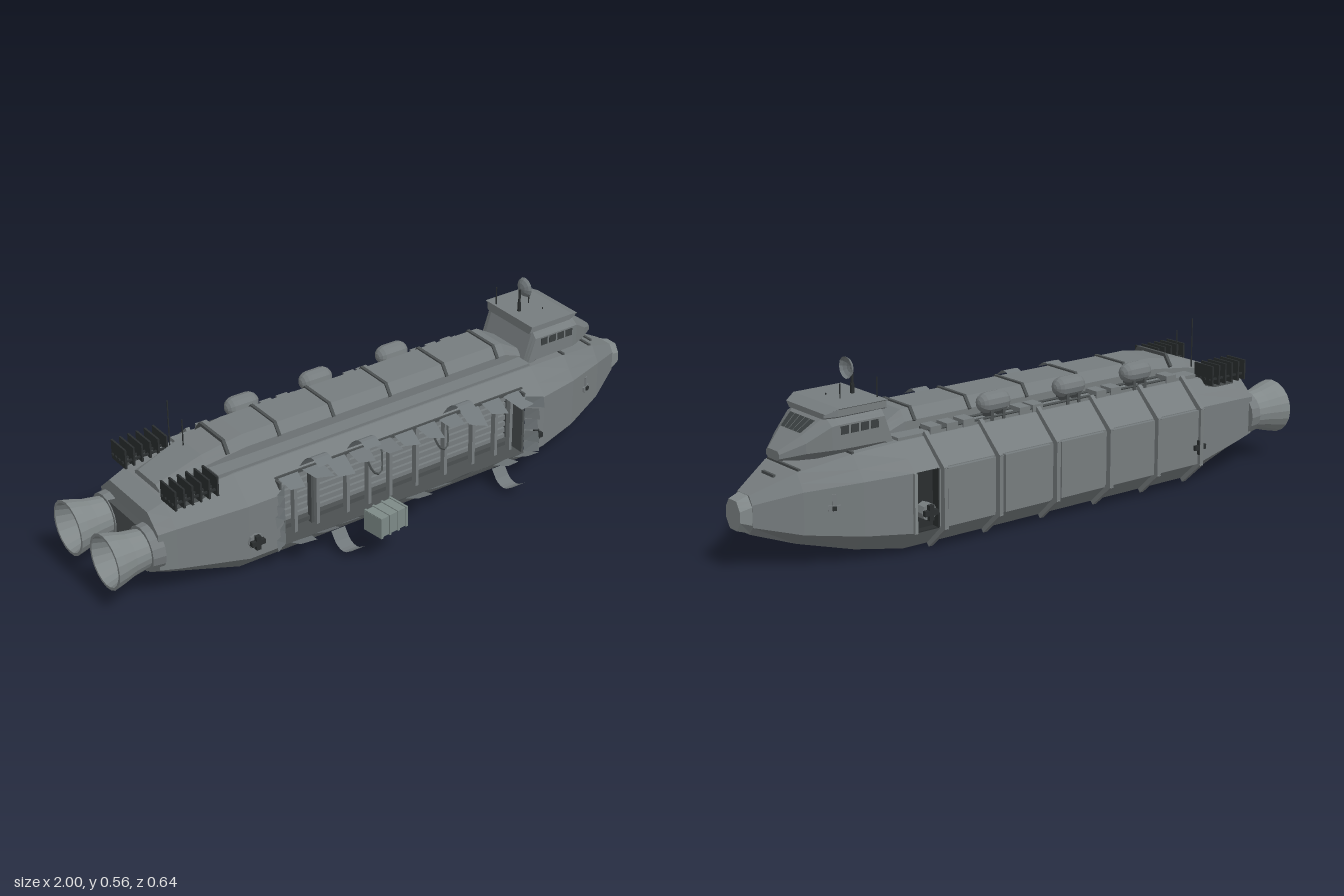
import * as THREE from 'three';

const mat = (name, color, side = THREE.FrontSide) => {
  const m = new THREE.MeshStandardMaterial({ color, side, flatShading: true });
  m.name = name;
  return m;
};
const CZ = -0.08; // centre line of the ship

export function createModel() {
  const root = new THREE.Group();
  root.name = 'cargoShip';
  const hullM = mat('hullGrey', 0x767c7e), darkM = mat('darkGrey', 0x4b5051), blackM = mat('nearBlack', 0x2a2e2f, THREE.DoubleSide);
  const lightM = mat('lightGrey', 0x818889, THREE.DoubleSide), tornM = mat('tornPlate', 0x70777a, THREE.DoubleSide);
  const crateM = mat('crateGrey', 0x7d8a87), glassM = mat('windowGrey', 0x3a3f40, THREE.DoubleSide);
  let seed = 7;
  const rnd = () => (seed = (seed * 16807) % 2147483647) / 2147483647;

  const add = (name, geo, m, x = 0, y = 0, z = 0, parent = root) => {
    const o = new THREE.Mesh(geo, m);
    o.name = name;
    o.position.set(x, y, z);
    parent.add(o);
    return o;
  };
  const box = (name, m, x, y, z, w, h, d, parent) => add(name, new THREE.BoxGeometry(w, h, d), m, x, y, z, parent);
  const fromTris = (pts) => {
    const g = new THREE.BufferGeometry();
    g.setAttribute('position', new THREE.Float32BufferAttribute(pts.flat(), 3));
    g.computeVertexNormals();
    return g;
  };
  const quad = (a, b, c, d) => fromTris([a, b, c, a, c, d]);

  // Ten-sided mirrored cross-section: half widths and heights
  const ring = ([x, wb, ws, wt, y0, y1, y2, y3]) => {
    const half = [[wt, y3], [wt + (ws - wt) * 0.55, y3 + (y2 - y3) * 0.55], [ws, y2], [ws, y1], [wb, y0]];
    return [...half, ...half.map(([w, y]) => [-w, y]).reverse()].map(([w, y]) => [x, y, CZ + w]);
  };
  const loft = (stations, skip = () => false) => {
    const rings = stations.map(ring), n = 10, out = [];
    for (let i = 0; i < rings.length - 1; i++) for (let j = 0; j < n; j++) {
      if (skip(i, j)) continue;
      const k = (j + 1) % n, a = rings[i][j], b = rings[i][k], c = rings[i + 1][k], d = rings[i + 1][j];
      out.push(a, b, c, a, c, d);
    }
    const last = rings[rings.length - 1];
    for (let j = 1; j < n - 1; j++) out.push(last[0], last[j], last[j + 1], rings[0][0], rings[0][j + 1], rings[0][j]);
    return fromTris(out);
  };
  // Bar lying in a plane of constant x between two section points
  const bar = (name, m, a, b, w, t) => {
    const dy = b[1] - a[1], dz = b[2] - a[2];
    const o = box(name, m, a[0], (a[1] + b[1]) / 2, (a[2] + b[2]) / 2, w, Math.hypot(dy, dz) + t * 0.6, t);
    o.rotation.x = Math.atan2(dz, dy);
  };

  // Main hull, open at the left cargo bay and the right forward recess
  const mid = [0.153, 0.217, 0.14, 0.015, 0.077, 0.257, 0.332];
  add('hull', loft([
    [-0.855, 0.1, 0.165, 0.11, 0.075, 0.115, 0.235, 0.285], [-0.8, 0.11, 0.175, 0.115, 0.06, 0.105, 0.24, 0.305],
    [-0.58, ...mid], [-0.46, ...mid], [0.45, ...mid], [0.53, ...mid],
    [0.68, 0.125, 0.18, 0.125, 0.037, 0.09, 0.25, 0.32], [0.84, 0.07, 0.115, 0.083, 0.073, 0.11, 0.235, 0.285],
    [0.965, 0.026, 0.046, 0.03, 0.115, 0.14, 0.205, 0.23]],
    (i, j) => (i === 3 && (j === 1 || j === 2)) || (i === 4 && j === 6)), hullM);
  add('noseCap', loft([[0.962, 0.024, 0.046, 0.024, 0.118, 0.145, 0.2, 0.23], [1, 0.018, 0.037, 0.02, 0.13, 0.158, 0.19, 0.217]]), lightM);
  box('sternBlock', darkM, -0.862, 0.17, CZ, 0.03, 0.13, 0.24);

  // Raised spine on the roof
  const spineMid = [0.085, 0.085, 0.062, 0.31, 0.325, 0.368, 0.4];
  add('spine', loft([[-0.79, 0.07, 0.07, 0.05, 0.29, 0.3, 0.315, 0.325], [-0.64, 0.082, 0.082, 0.06, 0.31, 0.32, 0.35, 0.378],
    [-0.5, ...spineMid], [0.47, ...spineMid], [0.54, 0.08, 0.08, 0.06, 0.31, 0.32, 0.34, 0.36]]), hullM);
  box('roofDeck', hullM, -0.05, 0.335, CZ, 1.16, 0.012, 0.27);

  // Frames over the right side and the spine
  for (const x of [-0.565, -0.385, -0.19, 0.02, 0.237, 0.437]) {
    const r = ring([x, 0.158, 0.23, 0.14, 0.014, 0.08, 0.256, 0.338]);
    for (let j = 5; j < 9; j++) bar('hullFrame', hullM, r[j], r[j + 1], 0.014, 0.018);
    const s = ring([x, ...spineMid]);
    for (const [a, b] of [[1, 0], [2, 1], [0, 9], [9, 8], [8, 7]]) bar('spineFrame', darkM, s[a], s[b], 0.01, 0.01);
  }
  // Right-side armour plates between the frames
  [-0.475, -0.288, -0.085, 0.128, 0.337].forEach((x) => box('armourPlate', hullM, x, 0.167, -0.302, 0.17, 0.175, 0.014));
  // Dark recess ahead of the armour
  box('recessWall', blackM, 0.49, 0.167, -0.262, 0.086, 0.19, 0.02);
  for (const x of [0.449, 0.53]) box('recessSide', blackM, x, 0.167, -0.283, 0.005, 0.178, 0.03);
  for (const y of [0.078, 0.256]) box('recessSill', blackM, 0.49, y, -0.281, 0.08, 0.004, 0.03);
  box('recessPost', lightM, 0.533, 0.167, -0.299, 0.01, 0.18, 0.012);

  // Cargo bay interior
  box('bayWall', darkM, 0, 0.18, 0.02, 0.95, 0.23, 0.01);
  box('bayFloor', darkM, 0, 0.072, 0.076, 0.93, 0.008, 0.115);
  box('bayCeiling', darkM, 0, 0.292, 0.06, 0.93, 0.008, 0.085);
  for (const x of [-0.463, 0.453]) box('bayEnd', darkM, x, 0.18, 0.073, 0.008, 0.22, 0.108);
  for (let i = 0; i < 8; i++) box('baySlat', hullM, 0, 0.095 + i * 0.023, 0.032, 0.91, 0.016, 0.018);
  for (const y of [0.09, 0.268]) box('bayRail', darkM, 0, y, 0.06, 0.91, 0.014, 0.02);
  for (const x of [-0.39, -0.31, -0.2, -0.12, -0.04, 0.06, 0.17, 0.28, 0.37, 0.43]) box('bayRib', hullM, x, 0.18, 0.085, 0.011, 0.215, 0.02);
  box('baySupport', darkM, -0.315, 0.18, 0.07, 0.02, 0.215, 0.02);
  for (const x of [-0.11, 0.14]) {
    const c = new THREE.CatmullRomCurve3([[x - 0.04, 0.285, 0.1], [x - 0.015, 0.205, 0.125], [x + 0.01, 0.195, 0.125], [x + 0.03, 0.285, 0.1]]
      .map((p) => new THREE.Vector3(...p)));
    add('looseCable', new THREE.TubeGeometry(c, 12, 0.004, 4), darkM);
  }

  // Torn plates along the edges of the opening
  const shard = (x, y, z, w, h, rx, rz) => {
    const s = new THREE.Shape([[-w / 2, 0], [w / 2, 0], [w * (0.3 + rnd() * 0.2), h], [-w * (0.2 + rnd() * 0.2), h * (0.7 + rnd() * 0.25)]]
      .map((p) => new THREE.Vector2(...p)));
    add('tornShard', new THREE.ShapeGeometry(s), tornM, x, y, z).rotation.set(rx, 0, rz);
  };
  for (let i = 0; i < 11; i++) {
    const x = -0.42 + i * 0.084;
    shard(x, 0.292, 0.1, 0.07, 0.06 + rnd() * 0.02, 1.6 + rnd() * 0.5, (rnd() - 0.5) * 0.4);
    shard(x + 0.02, 0.077, 0.136, 0.07, 0.045 + rnd() * 0.025, 0.75 + rnd() * 0.65, (rnd() - 0.5) * 0.5);
  }
  for (let i = 0; i < 5; i++) {
    const y = 0.1 + i * 0.041, out = 0.172 + rnd() * 0.015;
    for (const [x, dx] of [[-0.455, -0.035 - rnd() * 0.02], [0.45, 0.025 + rnd() * 0.015]])
      add('tornShard', quad([x, y - 0.017, 0.136], [x, y + 0.02, 0.136], [x + dx, y + 0.026, out - 0.008], [x + dx, y - 0.01, out]), tornM);
  }
  // Peeled strips curling outward
  const curl = (x, w, pts) => {
    const c = new THREE.CatmullRomCurve3(pts.map(([z, y]) => new THREE.Vector3(0, y, z)));
    const g = new THREE.PlaneGeometry(w, 1, 1, 8), p = g.attributes.position;
    for (let i = 0; i < p.count; i++) {
      const v = c.getPoint(p.getY(i) + 0.5);
      p.setXYZ(i, p.getX(i) + (v.z - 0.1) * 0.15, v.y, v.z);
    }
    g.computeVertexNormals();
    add('peeledStrip', g, tornM, x);
  };
  for (const x of [-0.35, -0.18, 0.18]) curl(x, 0.055, [[0.1, 0.305], [0.125, 0.34], [0.155, 0.356], [0.183, 0.337]]);
  for (const x of [-0.28, 0.335]) curl(x, 0.05, [[0.145, 0.07], [0.17, 0.032], [0.2, 0.022], [0.235, 0.042]]);

  // Drifting crate
  const crate = new THREE.Group();
  crate.name = 'driftingCrate';
  crate.position.set(-0.19, 0.146, 0.276);
  crate.rotation.y = 0.13;
  root.add(crate);
  box('crateBody', crateM, 0, 0, 0, 0.108, 0.064, 0.07, crate);
  for (const x of [-0.05, -0.017, 0.017, 0.05]) box('crateBand', crateM, x, 0, 0, 0.007, 0.07, 0.076, crate);

  // Roof tanks and piping on the right shoulder
  for (const x of [-0.39, -0.12, 0.17]) {
    add('roofTank', new THREE.CapsuleGeometry(0.032, 0.05, 4, 12), hullM, x, 0.384, -0.194).rotation.z = Math.PI / 2;
    for (const s of [-1, 1]) box('tankSaddle', darkM, x + s * 0.022, 0.348, -0.194, 0.01, 0.03, 0.05);
  }
  for (const z of [-0.175, -0.215]) add('roofPipe', new THREE.CylinderGeometry(0.004, 0.004, 0.95, 6), darkM, -0.05, 0.345, z).rotation.z = Math.PI / 2;
  [-0.52, -0.29, -0.23, 0.02, 0.07, 0.28, 0.34, 0.4].forEach((x) => box('roofUnit', hullM, x, 0.344, -0.195, 0.04, 0.022, 0.05));

  // Radiator fins on the stern
  for (const z of [0.062, -0.222]) {
    for (let i = 0; i < 6; i++) box('radiatorFin', blackM, -0.8 + i * 0.028, 0.338, z, 0.006, 0.064, 0.082);
    for (let i = 0; i < 4; i++) box('radiatorRod', blackM, -0.73, 0.325, z - 0.03 + i * 0.02, 0.155, 0.006, 0.006);
    box('radiatorFoot', darkM, -0.72, 0.305, z, 0.12, 0.03, 0.02);
  }

  // Engine bells
  const bell = [[0.03, 0], [0.058, 0.005], [0.062, 0.03], [0.068, 0.07], [0.08, 0.11], [0.087, 0.14], [0.078, 0.14], [0.06, 0.08], [0.03, 0.03], [0, 0.03]];
  for (const z of [0.027, -0.192]) {
    const e = add('engineBell', new THREE.LatheGeometry(bell.map((p) => new THREE.Vector2(...p)), 20), lightM, -0.86, 0.17, z);
    e.rotation.z = Math.PI / 2;
    add('engineCollar', new THREE.CylinderGeometry(0.07, 0.075, 0.04, 16), hullM, -0.86, 0.17, z).rotation.z = Math.PI / 2;
  }

  // Manoeuvring thrusters and nose fittings, both sides
  for (const s of [1, -1]) {
    for (const x of [-0.562, 0.488]) {
      add('thrusterPad', new THREE.CylinderGeometry(0.026, 0.026, 0.032, 8), hullM, x, 0.135, CZ + s * 0.209).rotation.x = Math.PI / 2;
      for (const [w, h] of [[0.046, 0.016], [0.016, 0.046]]) box('thrusterJets', blackM, x, 0.135, CZ + s * 0.231, w, h, 0.014);
    }
    const c = box('noseFitting', hullM, 0.76, 0.195, CZ + s * 0.146, 0.012, 0.056, 0.01);
    c.rotation.y = s * 0.41;
    box('noseFittingArm', hullM, 0, -0.012, 0, 0.036, 0.016, 0.012, c);
    box('noseFittingJet', blackM, 0, -0.012, s * 0.008, 0.012, 0.012, 0.008, c);
  }
  for (const [x, y, w] of [[0.68, 0.322, 0.25], [0.83, 0.289, 0.16], [0.88, 0.27, 0.06]]) box('noseRail', darkM, x, y, CZ, 0.008, 0.008, w);

  // Bridge
  add('bridge', loft([[0.535, 0.09, 0.12, 0.1, 0.3, 0.315, 0.325, 0.335], [0.565, 0.08, 0.12, 0.1, 0.3, 0.335, 0.41, 0.432],
    [0.72, 0.06, 0.12, 0.085, 0.303, 0.338, 0.41, 0.432], [0.74, 0.058, 0.114, 0.078, 0.303, 0.338, 0.406, 0.43],
    [0.805, 0.045, 0.08, 0.056, 0.306, 0.332, 0.362, 0.38], [0.865, 0.022, 0.034, 0.024, 0.31, 0.317, 0.33, 0.338]]), hullM);
  add('bridgeRoof', loft([[0.55, 0.1, 0.108, 0.118, 0.425, 0.43, 0.45, 0.455], [0.715, 0.1, 0.108, 0.118, 0.425, 0.43, 0.45, 0.455],
    [0.752, 0.086, 0.09, 0.1, 0.424, 0.428, 0.436, 0.44]]), hullM);
  const pane = (t, u) => [0.745 + 0.065 * t, 0.432 - 0.05 * t, CZ + u * (0.074 - 0.022 * t)];
  for (let i = 0; i < 5; i++) {
    const u = -0.94 + i * 0.38, v = u + 0.35;
    add('windscreenPane', quad(pane(0.28, u), pane(0.28, v), pane(0.92, v), pane(0.92, u)), glassM);
  }
  for (const s of [1, -1]) for (let i = 0; i < 4; i++) box('sideWindow', glassM, 0.6 + i * 0.034, 0.393, CZ + s * 0.119, 0.026, 0.024, 0.006);

  // Dish and aerials
  const rod = (x, y0, y1, z, r) => add('aerial', new THREE.CylinderGeometry(r, r, y1 - y0, 6), blackM, x, (y0 + y1) / 2, z);
  rod(0.59, 0.45, 0.485, -0.077, 0.006);
  rod(0.59, 0.48, 0.53, -0.077, 0.004);
  const dish = [[0, 0], [0.017, 0.004], [0.028, 0.011], [0.033, 0.02]].map((p) => new THREE.Vector2(...p));
  add('dish', new THREE.LatheGeometry(dish, 12), tornM, 0.592, 0.533, -0.077).rotation.z = -Math.PI / 2;
  rod(0.56, 0.45, 0.515, -0.157, 0.002);
  rod(0.65, 0.45, 0.498, -0.103, 0.002);
  rod(0.66, 0.45, 0.46, -0.045, 0.002);
  rod(-0.665, 0.33, 0.505, -0.157, 0.002);
  rod(-0.65, 0.33, 0.46, -0.103, 0.002);
  return root;
}
